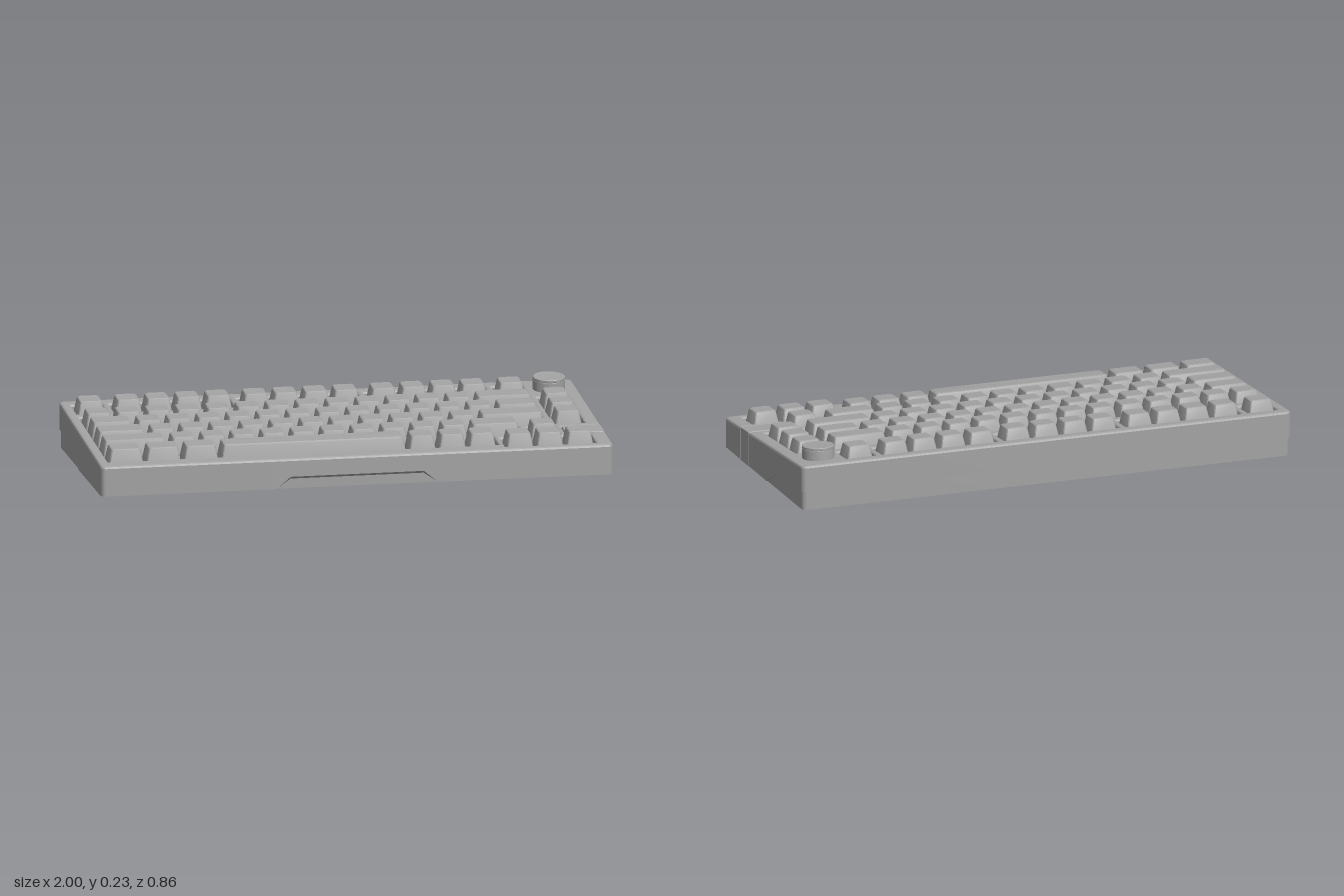
import * as THREE from 'three';
import { toCreasedNormals } from 'three/addons/utils/BufferGeometryUtils.js';

const material = new THREE.MeshStandardMaterial({ color: 0xa3a3a3 });
const SLOPE = 0.0695, MID_Y = 0.149;           // the deck rises towards the back
const HALF_Z = 0.432;
const U = 0.1172, LEFT = -0.96;                // key pitch and left end of the rows
const ROW_Z = [-0.32, -0.161, -0.044, 0.073, 0.19, 0.307];
const ARROW_U = 13.2, ARROW_DROP = 0.03;       // arrow cluster offsets
const BADGE = { x0: 0.848, x1: 0.9995, z0: 0.168, z1: 0.255 };

const ux = (u) => LEFT + u * U;
const deckY = (z) => MID_Y - SLOPE * z;

function mesh(name, geometry, crease = 0.2) {
  const m = new THREE.Mesh(toCreasedNormals(geometry, crease), material);
  m.name = name;
  return m;
}

// Lower rim of the case: chamfered grip cut-out at the front, rising seam at the back
function rimY(x, z) {
  if (z > 0.41) {
    const cut = 0.048 * THREE.MathUtils.clamp((0.315 - Math.abs(x)) / 0.055, 0, 1);
    return Math.max(0.002, cut - (HALF_Z - z));
  }
  if (z > -0.035) return 0.002;
  if (z > -0.145) return 0.002 + 0.061 * (-0.035 - z) / 0.11;
  return 0.063 + 0.012 * (-0.145 - z) / 0.285;
}

// Plan shape (x, -z) raised from a lower rim to the sloping deck, bevelled at the top
function slab(shape, bevel, lower) {
  const g = new THREE.ExtrudeGeometry(shape, {
    depth: 1, bevelSize: bevel, bevelThickness: bevel, bevelOffset: -bevel, bevelSegments: 2, curveSegments: 5,
  });
  g.rotateX(-Math.PI / 2);
  const p = g.attributes.position;
  for (let i = 0; i < p.count; i++) {
    const x = p.getX(i), y = p.getY(i), z = p.getZ(i);
    p.setY(i, y < 0.5 ? lower(x, z) : deckY(z) + y - 1 - bevel);
  }
  return g;
}

function roundedRect(x0, x1, z0, z1, r) {
  const s = new THREE.Shape();
  s.absarc(x1 - r, -z1 + r, r, -Math.PI / 2, 0);
  s.absarc(x1 - r, -z0 - r, r, 0, Math.PI / 2);
  s.absarc(x0 + r, -z0 - r, r, Math.PI / 2, Math.PI);
  s.absarc(x0 + r, -z1 + r, r, Math.PI, Math.PI * 1.5);
  s.closePath();
  return s;
}

const polygon = (pts) => new THREE.Path(pts.map(([x, z]) => new THREE.Vector2(x, -z)));

// Case outline with a badge notch on one side
function caseShape() {
  const s = new THREE.Shape(), r = 0.02, X = 1, Z = HALF_Z;
  const gap = 0.002;
  s.moveTo(-X + r, -Z);
  [-0.315, -0.26, 0.26, 0.315].forEach((x) => s.lineTo(x, -Z));
  s.absarc(X - r, -Z + r, r, -Math.PI / 2, 0);
  s.lineTo(X, -BADGE.z1 - gap);
  s.lineTo(BADGE.x0 - gap, -BADGE.z1 - gap);
  s.lineTo(BADGE.x0 - gap, -BADGE.z0 + gap);
  s.lineTo(X, -BADGE.z0 + gap);
  s.lineTo(X, 0.035);
  s.lineTo(X, 0.145);
  s.absarc(X - r, Z - r, r, 0, Math.PI / 2);
  s.absarc(-X + r, Z - r, r, Math.PI / 2, Math.PI);
  s.lineTo(-X, 0.145);
  s.lineTo(-X, 0.035);
  s.absarc(-X + r, -Z + r, r, Math.PI, Math.PI * 1.5);

  // Key wells
  const m = 0.001, h = U / 2 + m;
  const well = (u0, u1, z0, z1) => polygon([
    [ux(u0) - m, z0 - h], [ux(u0) - m, z1 + h], [ux(u1) + m, z1 + h], [ux(u1) + m, z0 - h]]);
  [[0, 1], [1.25, 5.25], [5.5, 9.5], [9.75, 13.75], [14, 15]].forEach(([a, b]) =>
    s.holes.push(well(a, b, ROW_Z[0], ROW_Z[0])));
  s.holes.push(well(15.25, 16.25, ROW_Z[1], ROW_Z[3]));
  s.holes.push(polygon([
    [ux(0) - m, ROW_Z[1] - h], [ux(0) - m, ROW_Z[5] + h],
    [ux(13) + m, ROW_Z[5] + h], [ux(13) + m, ROW_Z[4] + h],
    [ux(14) + m, ROW_Z[4] + h], [ux(14) + m, ROW_Z[3] + h],
    [ux(15) + m, ROW_Z[3] + h], [ux(15) + m, ROW_Z[1] - h]]));
  const a = ROW_Z[4] + ARROW_DROP, b = ROW_Z[5] + ARROW_DROP;
  const [x0, x1, x2, x3] = [0, 1, 2, 3].map((i) => ux(ARROW_U + i));
  s.holes.push(polygon([
    [x1 - m, a - h], [x1 - m, b - h], [x0 - m, b - h], [x0 - m, b + h],
    [x3 + m, b + h], [x3 + m, b - h], [x2 + m, b - h], [x2 + m, a - h]]));
  return s;
}

// Tapered keycap lofted through rounded rectangles, with a slightly dished top
function keycapGeometry(units) {
  const w = units * U;
  const sections = [
    [-0.034, w - 0.007, 0.110, 0.008, 0], [0.034, w - 0.031, 0.085, 0.010, -0.003],
    [0.038, w - 0.034, 0.082, 0.010, -0.003], [0.041, w - 0.042, 0.074, 0.010, -0.003]];
  const pos = [], idx = [], seg = 3, n = 4 * (seg + 1);
  for (const [y, sw, sd, r, dz] of sections) {
    for (let c = 0; c < 4; c++) {
      const cx = (c === 0 || c === 3 ? 1 : -1) * (sw / 2 - r), cz = (c < 2 ? 1 : -1) * (sd / 2 - r);
      for (let k = 0; k <= seg; k++) {
        const t = (c + k / seg) * Math.PI / 2;
        pos.push(cx + r * Math.cos(t), y, cz + r * Math.sin(t) + dz);
      }
    }
  }
  const last = (sections.length - 1) * n, centre = sections.length * n;
  pos.push(0, 0.0395, -0.003);
  for (let i = 0; i < n; i++) {
    const j = (i + 1) % n;
    for (let s = 0; s < last; s += n) idx.push(s + i, s + n + i, s + j, s + j, s + n + i, s + n + j);
    idx.push(last + i, centre, last + j);
  }
  const g = new THREE.BufferGeometry();
  g.setAttribute('position', new THREE.Float32BufferAttribute(pos, 3));
  g.setIndex(idx);
  return g;
}

function keys() {
  const group = new THREE.Group(), cache = {};
  group.name = 'keycaps';
  const add = (u, units, z) => {
    cache[units] ??= toCreasedNormals(keycapGeometry(units), 0.5);
    const k = new THREE.Mesh(cache[units], material);
    k.name = units > 5 ? 'spaceBar' : 'keycap';
    k.position.set(ux(u + units / 2), 0, z);
    group.add(k);
  };
  const ones = (n) => Array(n).fill(1);
  // Back row in groups
  [0, 14].forEach((u) => add(u, 1, ROW_Z[0]));
  [1.25, 5.5, 9.75].forEach((u) => { for (let i = 0; i < 4; i++) add(u + i, 1, ROW_Z[0]); });
  // Main rows
  [
    [...ones(13), 2], [1.5, ...ones(12), 1.5], [1.75, ...ones(11), 2.25],
    [2.25, ...ones(10), 1.75], [1.25, 1.25, 1.25, 6.25, 1, 1, 1],
  ].forEach((row, r) => {
    let u = 0;
    for (const w of row) { add(u, w, ROW_Z[r + 1]); u += w; }
  });
  // Side column and arrows
  [1, 2, 3].forEach((r) => add(15.25, 1, ROW_Z[r]));
  add(ARROW_U + 1, 1, ROW_Z[4] + ARROW_DROP);
  [0, 1, 2].forEach((i) => add(ARROW_U + i, 1, ROW_Z[5] + ARROW_DROP));
  return group;
}

export function createModel() {
  const model = new THREE.Group();
  model.name = 'keyboard';
  model.add(mesh('upperCase', slab(caseShape(), 0.009, rimY)));

  // Base tray, set in slightly from the upper case
  const base = new THREE.ExtrudeGeometry(roundedRect(-0.995, 0.995, -0.426, 0.422, 0.02),
    { depth: 0.077, bevelEnabled: false, curveSegments: 5 });
  base.rotateX(-Math.PI / 2).translate(0, 0.001, 0);
  model.add(mesh('baseTray', base));

  // Side badge inlay, wrapping from the deck to the underside
  model.add(mesh('sideBadge',
    slab(roundedRect(BADGE.x0, BADGE.x1, BADGE.z0, BADGE.z1, 0.004), 0.003, () => 0)));

  // Tilted deck: switch plate, keycaps and knob
  const deck = new THREE.Group();
  deck.name = 'deck';
  deck.position.y = MID_Y;
  deck.rotation.x = Math.atan(SLOPE);
  const plate = mesh('switchPlate', new THREE.BoxGeometry(1.95, 0.01, 0.82));
  plate.position.y = -0.04;
  const profile = [[0.062, -0.005], [0.062, 0.038], [0.061, 0.039], [0.061, 0.04], [0.062, 0.041],
    [0.062, 0.048], [0.06, 0.05], [0.051, 0.05], [0.049, 0.049], [0, 0.049]];
  const knob = mesh('knob', new THREE.LatheGeometry(profile.map(([x, y]) => new THREE.Vector2(x, y)), 48));
  knob.position.set(0.892, 0, -0.318);
  deck.add(plate, keys(), knob);
  model.add(deck);
  return model;
}
